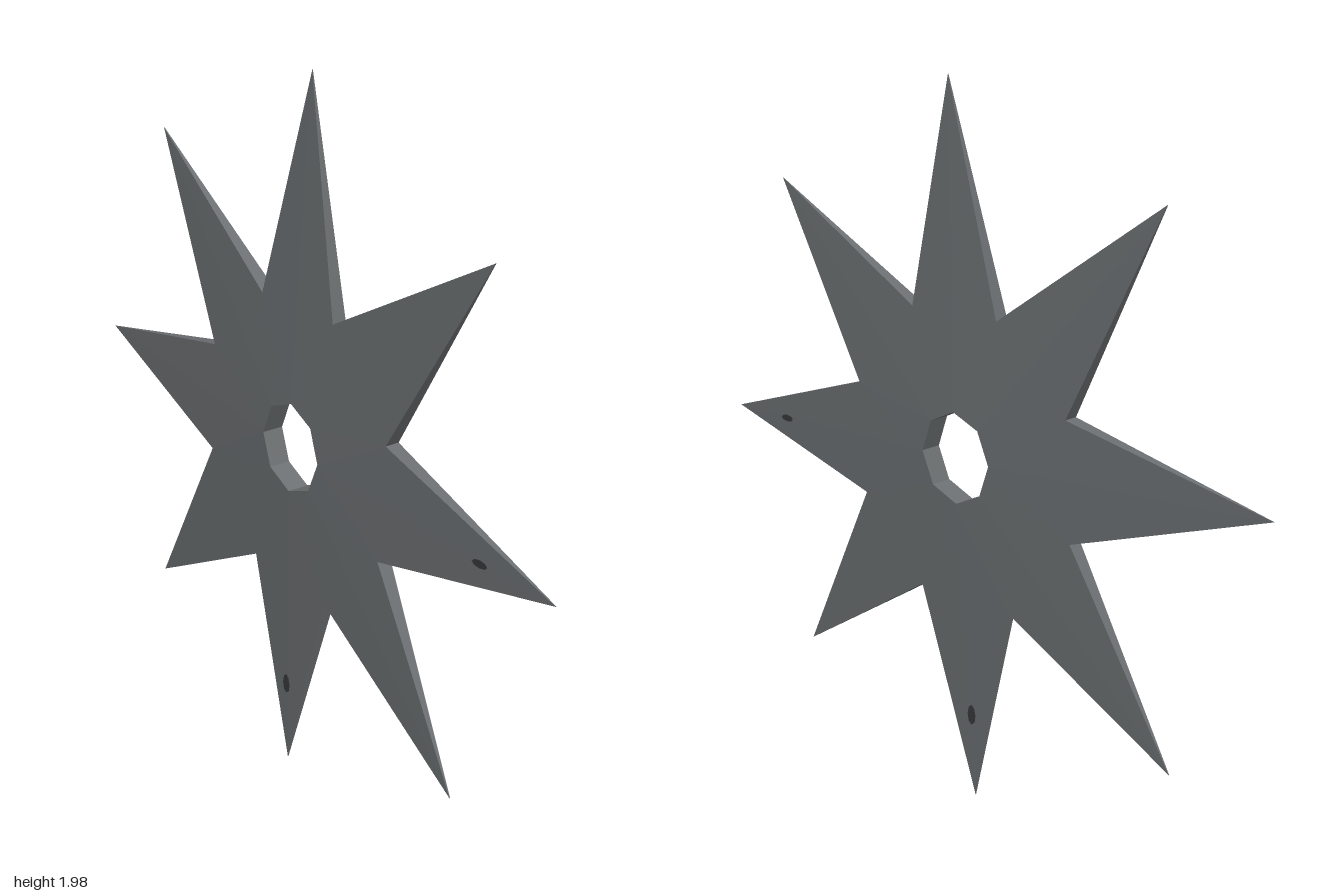
import * as THREE from 'three';

// Outline corners as [z, y], clockwise seen from +x
const TIPS = [[0.055, 1.99], [-0.66, 1.735], [-0.99, 1.065], [-0.72, 0.335],
  [-0.035, 0.01], [0.68, 0.27], [1.0, 0.95], [0.745, 1.67]];
const VALLEYS = [[-0.135, 1.39], [-0.375, 1.18], [-0.395, 0.86], [-0.17, 0.615],
  [0.155, 0.6], [0.385, 0.815], [0.405, 1.135], [0.18, 1.385]];
const CENTER_Z = 0.01, CENTER_Y = 1.0, HOLE_RADIUS = 0.126;

// The disc leans slightly and thins from the hole to the tips
const midX = (z, y) => -0.0625 * z + 0.008 * (y - 1);
const halfThickness = (z, y) => {
  const r = Math.hypot(z - CENTER_Z, y - CENTER_Y);
  return Math.max(0.001, 0.032 * (0.99 - r) / (0.99 - HOLE_RADIUS));
};
const point = ([z, y], side) => [midX(z, y) + side * halfThickness(z, y), y, z];

function buildStar() {
  const positions = [];
  const tri = (a, b, c) => positions.push(...a, ...b, ...c);
  const quad = (a, b, c, d) => { tri(a, b, c); tri(a, c, d); };
  const hole = TIPS.map((_, i) => {
    const a = THREE.MathUtils.degToRad(2 - i * 45);
    return [CENTER_Z + HOLE_RADIUS * Math.sin(a), CENTER_Y + HOLE_RADIUS * Math.cos(a)];
  });

  for (let i = 0; i < 8; i++) {
    const next = (i + 1) % 8;
    const valleyBefore = VALLEYS[(i + 7) % 8];
    // Both broad faces
    for (const side of [1, -1]) {
      const face = (a, b, c) => {
        const p = [a, b, c].map((q) => point(q, side));
        if (side < 0) p.reverse();
        tri(...p);
      };
      face(hole[i], VALLEYS[i], TIPS[i]);
      face(hole[i], TIPS[i], valleyBefore);
      face(hole[i], hole[next], VALLEYS[i]);
    }
    // Outer rim and hole wall
    const wall = (a, b) => quad(point(a, 1), point(b, 1), point(b, -1), point(a, -1));
    wall(TIPS[i], VALLEYS[i]);
    wall(VALLEYS[i], TIPS[next]);
    wall(hole[next], hole[i]);
  }
  const geometry = new THREE.BufferGeometry();
  geometry.setAttribute('position', new THREE.Float32BufferAttribute(positions, 3));
  geometry.computeVertexNormals();
  return geometry;
}

export function createModel() {
  const group = new THREE.Group();
  group.name = 'throwingStar';
  const steel = new THREE.MeshStandardMaterial({ color: 0x6b6f71 });
  steel.name = 'steel grey';
  const dark = new THREE.MeshStandardMaterial({ color: 0x343738 });
  dark.name = 'dark grey';

  const blade = new THREE.Mesh(buildStar(), steel);
  blade.name = 'eightPointBlade';
  group.add(blade);

  // Small dark marks passing through two of the points
  for (const [name, z, y, length, height] of [
    ['frontPointMark', 0.755, 0.957, 0.05, 0.02],
    ['lowerPointMark', -0.03, 0.26, 0.028, 0.06],
  ]) {
    const depth = 2 * halfThickness(z, y) + 0.006;
    const geometry = new THREE.CylinderGeometry(0.5, 0.5, 1, 8).rotateZ(Math.PI / 2);
    const mark = new THREE.Mesh(geometry.scale(depth, height, length), dark);
    mark.position.set(midX(z, y), y, z);
    mark.name = name;
    group.add(mark);
  }
  return group;
}
